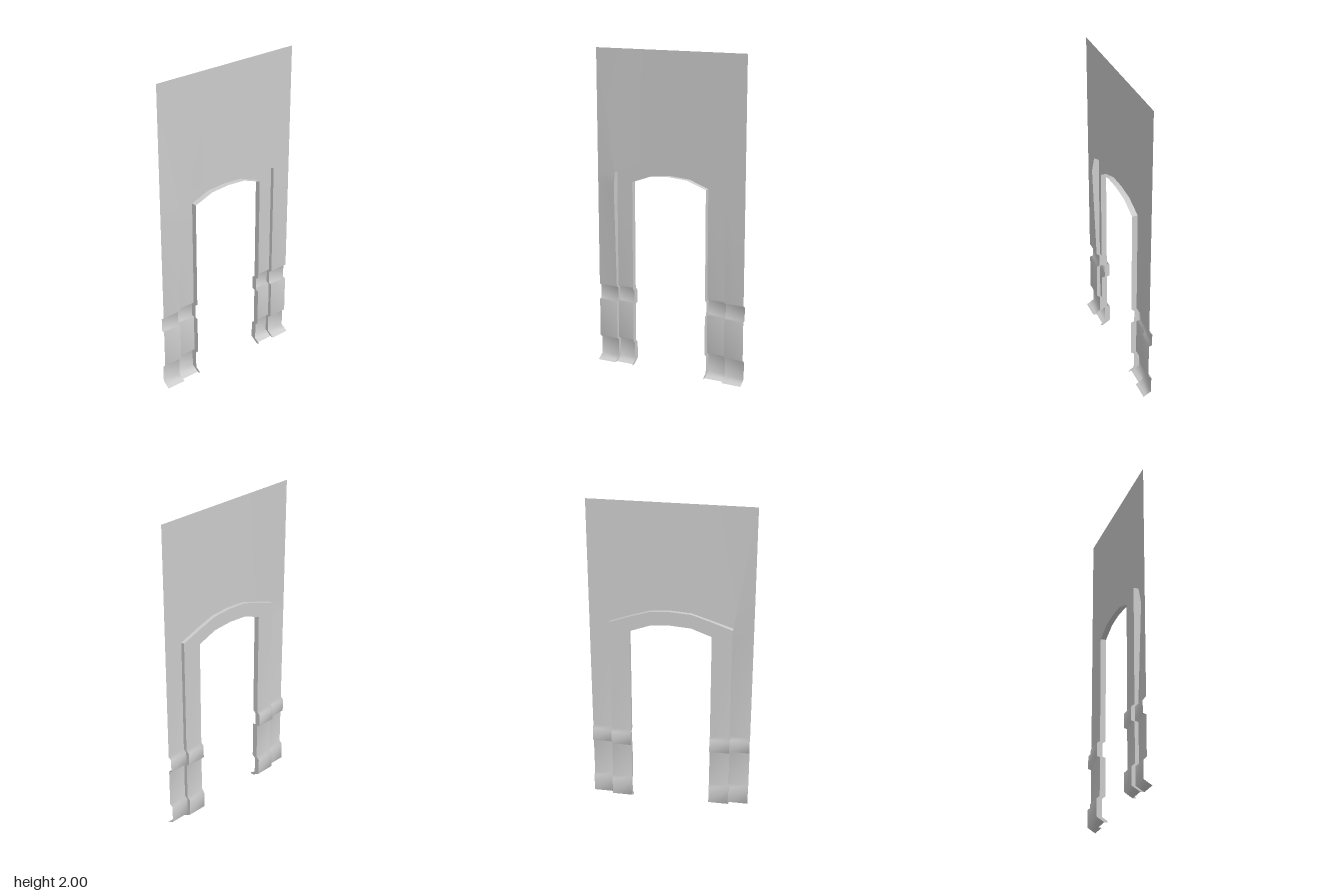
import * as THREE from 'three';

// moulded profile of each post: [height, sideways offset]
const PROFILE = [
  [0, 0.03], [0.01, 0.012], [0.03, -0.02], [0.14, -0.02], [0.157, 0], [0.4, 0],
  [0.405, -0.02], [0.488, -0.02], [0.505, 0], [1.15, 0],
];
// half of the arch: [frame z, frame y, outer z, outer y, inner z, inner y]
const ARCH = [
  [0.5, 1.24, 0.375, 1.24, 0.25, 1.19],
  [0.5, 2, 0.375, 1.24, 0.25, 1.19],
  [0.25, 2, 0.25, 1.285, 0.187, 1.213],
  [0.125, 2, 0.125, 1.325, 0.125, 1.236],
  [0, 2, 0, 1.333, 0, 1.245],
];

// sheet through two edge lines of equal length
function strip(name, edgeA, edgeB) {
  const positions = [], index = [];
  edgeA.forEach((p, i) => {
    positions.push(...p.toArray(), ...edgeB[i].toArray());
    if (i === 0) return;
    const a = 2 * i - 2;
    index.push(a, a + 2, a + 1, a + 1, a + 2, a + 3);
  });
  const geometry = new THREE.BufferGeometry();
  geometry.setAttribute('position', new THREE.Float32BufferAttribute(positions, 3));
  geometry.setIndex(index);
  geometry.computeVertexNormals();
  const mesh = new THREE.Mesh(geometry, new THREE.MeshStandardMaterial({ color: 0xcccccc, side: THREE.DoubleSide }));
  mesh.name = name;
  return mesh;
}

export function createModel() {
  const group = new THREE.Group();
  group.name = 'archedWall';

  // stations run up one post, over the arch and down the other
  const half = [
    ...PROFILE.map(([y, dx]) => ({ dx, at: [0.5, y, 0.375, y, 0.25, y] })),
    ...ARCH.map((at) => ({ dx: 0, at })),
  ];
  const mirrored = half.slice(0, -1).reverse().map(({ dx, at }) => ({
    dx, at: at.map((v, i) => (i % 2 ? v : -v)),
  }));
  const stations = [...half, ...mirrored];

  // the wall is turned very slightly about the vertical
  const point = (x, y, z) => new THREE.Vector3(x + 0.004 - 0.007 * z, y, z);
  // the wall edge is bowed beside one shoulder of the arch
  const bow = (y, z) => {
    if (z < 0.37) return 0;
    return y === 1.15 ? 0.023 : y === 1.24 ? 0.008 : 0;
  };

  const frame = stations.map(({ dx, at }) => point(dx, at[1], at[0]));
  const wallEdge = stations.map(({ dx, at }) => point(dx + bow(at[3], at[2]), at[3], at[2]));
  const trimOuter = stations.map(({ dx, at }) => point(dx - 0.023, at[3], at[2]));
  const trimInner = stations.map(({ dx, at }) => point(dx - 0.023, at[5], at[4]));
  const revealEdge = stations.map(({ dx, at }) => point(Math.min(dx + 0.012, 0.028), at[5], at[4]));

  group.add(
    strip('wall', frame, wallEdge),
    strip('archStep', wallEdge, trimOuter),
    strip('archTrim', trimOuter, trimInner),
    strip('archReveal', trimInner, revealEdge),
  );
  return group;
}
